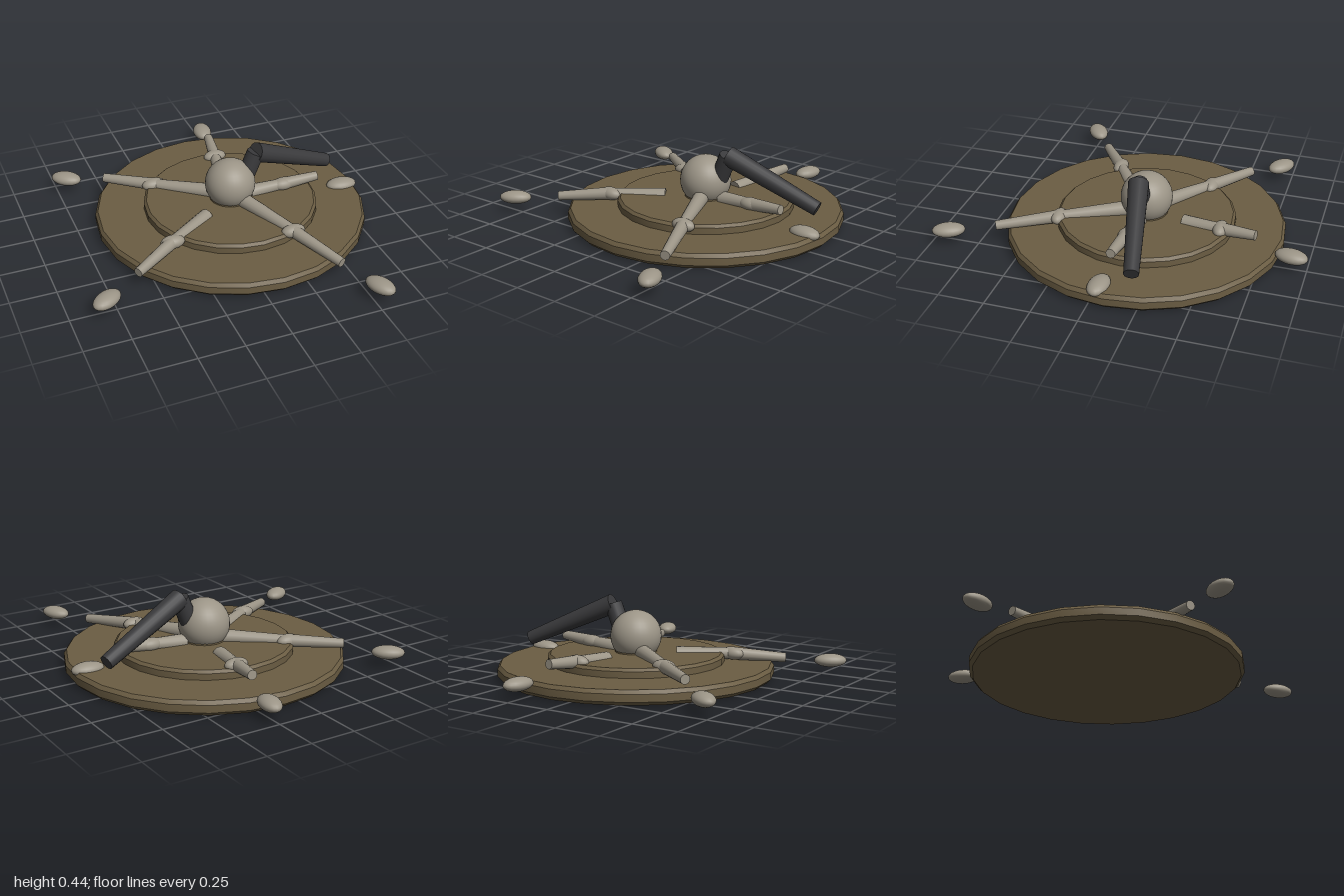
import * as THREE from 'three';
import { toCreasedNormals } from 'three/addons/utils/BufferGeometryUtils.js';

const CX = 0.105, CZ = -0.085; // axis of the discs and ball

export function createModel() {
  const model = new THREE.Group();
  model.name = 'fiveLeggedFigureOnDisc';
  const brown = new THREE.MeshStandardMaterial({ name: 'earth brown', color: 0x6b5d43 });
  const stone = new THREE.MeshStandardMaterial({ name: 'stone grey', color: 0x9c9587 });
  const dark = new THREE.MeshStandardMaterial({ name: 'charcoal', color: 0x3a3a3c });

  const add = (name, geometry, material, parent = model) => {
    const mesh = new THREE.Mesh(geometry, material);
    mesh.name = name;
    parent.add(mesh);
    return mesh;
  };

  // Round disc turned from a half profile of [radius, height]
  const disc = (name, profile) => {
    const points = profile.map(([r, y]) => new THREE.Vector2(r, y));
    const geometry = toCreasedNormals(new THREE.LatheGeometry(points, 24), 0.6);
    add(name, geometry, brown).position.set(CX, 0, CZ);
  };

  // Tapered rod between two points
  const rod = (name, a, b, ra, rb, material, parent) => {
    const axis = b.clone().sub(a);
    const mesh = add(name, new THREE.CylinderGeometry(rb, ra, axis.length(), 16), material, parent);
    mesh.position.copy(a).add(b).multiplyScalar(0.5);
    mesh.quaternion.setFromUnitVectors(new THREE.Vector3(0, 1, 0), axis.normalize());
  };

  const ellipsoid = (name, center, size, parent) => {
    const mesh = add(name, new THREE.SphereGeometry(1, 20, 14), stone, parent);
    mesh.position.copy(center);
    mesh.scale.set(...size);
    return mesh;
  };

  // Stepped base and the collar under the ball
  disc('baseDisc', [[0, 0], [0.745, 0], [0.765, 0.02], [0.765, 0.06], [0.75, 0.08], [0, 0.08]]);
  disc('upperDisc', [[0, 0.07], [0.49, 0.07], [0.49, 0.115], [0.475, 0.13], [0, 0.13]]);
  disc('collar', [[0, 0.12], [0.118, 0.12], [0.113, 0.165], [0, 0.165]]);

  // Ball body
  const ball = add('ballBody', new THREE.SphereGeometry(0.142, 32, 20), stone);
  ball.position.set(CX, 0.22, CZ);

  // Bent dark arm
  const elbow = new THREE.Vector3(0.258, 0.385, CZ);
  rod('neck', new THREE.Vector3(0.18, 0.2, CZ), elbow, 0.05, 0.05, dark);
  rod('longArm', elbow, new THREE.Vector3(0.76, 0.16, -0.2), 0.056, 0.04, dark);

  // Legs: angle, then [distance, height] of start, knee and tip, then foot distance
  const legs = [
    { name: 'frontLeg', angle: 66.5, start: [0.1, 0.15], knee: [0.48, 0.125], tip: [0.825, 0.09], foot: 1.08 },
    { name: 'frontRightLeg', angle: 147, start: [0.225, 0.115], knee: [0.535, 0.12], tip: [0.83, 0.095], foot: 1.08 },
    { name: 'backRightLeg', angle: 217, start: [0.1, 0.145], knee: [0.457, 0.132], tip: [0.76, 0.125], foot: 1.0 },
    { name: 'backLeg', angle: 280, start: [0.225, 0.115], knee: [0.44, 0.135], tip: [0.64, 0.15], foot: 0.843 },
    { name: 'leftLeg', angle: 4, start: [0.12, 0.135], knee: [0.32, 0.152], tip: [0.525, 0.168], foot: 0.684 },
  ];
  for (const { name, angle, start, knee, tip, foot } of legs) {
    const leg = new THREE.Group();
    leg.name = name;
    model.add(leg);
    const t = THREE.MathUtils.degToRad(angle);
    const at = ([d, y]) => new THREE.Vector3(CX + d * Math.cos(t), y, CZ + d * Math.sin(t));
    rod('upperLeg', at(start), at(knee), 0.043, 0.031, stone, leg);
    ellipsoid('knee', at(knee), [0.068, 0.036, 0.042], leg);
    rod('lowerLeg', at(knee), at(tip), 0.036, 0.026, stone, leg);
    ellipsoid('foot', at([foot, 0.08]), [0.09, 0.037, 0.055], leg).rotation.y = -t;
  }
  return model;
}
